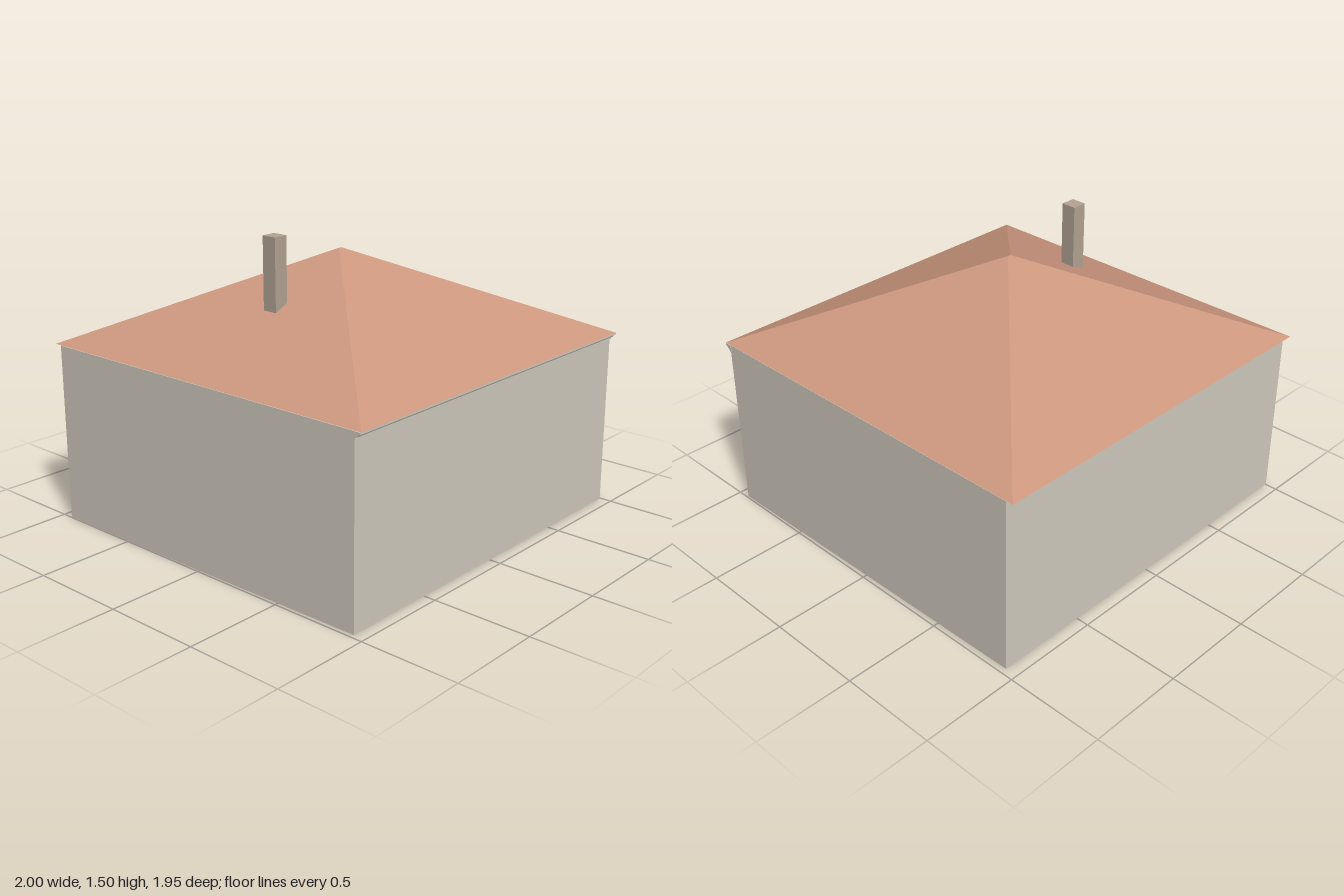
import * as THREE from 'three';

const mat = (name, color) => {
  const m = new THREE.MeshStandardMaterial({ color });
  m.name = name;
  return m;
};

export function createModel() {
  const wall = mat('plaster', 0xd0cabd);
  const roofRed = mat('roof tile', 0xcd977e);
  const brick = mat('chimney stone', 0xb3a393);
  const grey = mat('underside grey', 0x7c7c7c);

  const HALF_X = 0.985, EAVE = 0.912, RIDGE = 1.37;
  const group = new THREE.Group();
  group.name = 'house';

  // The plan is a slightly sheared rectangle: x shifts with z
  const shear = (geo, rule) => {
    const p = geo.attributes.position;
    const v = new THREE.Vector3();
    for (let i = 0; i < p.count; i++) {
      v.fromBufferAttribute(p, i);
      if (rule) rule(v);
      else v.x += -0.005 + 0.0125 * v.z;
      p.setXYZ(i, v.x, v.y, v.z);
    }
    geo.computeVertexNormals();
    return geo;
  };
  const add = (name, geo, material) => {
    const mesh = new THREE.Mesh(geo, material);
    mesh.name = name;
    group.add(mesh);
  };

  // Walls with a grey floor face
  const body = new THREE.BoxGeometry(HALF_X * 2, EAVE - 0.002, 1.876);
  body.translate(0, (EAVE - 0.002) / 2, 0.002);
  add('walls', shear(body), [wall, wall, wall, grey, wall, wall]);

  // Hipped roof: a box whose top is drawn in to a tiny ridge
  const roof = new THREE.BoxGeometry(HALF_X * 2, RIDGE - EAVE, 1.95);
  roof.translate(0, (RIDGE + EAVE) / 2, 0);
  shear(roof, (v) => {
    if (v.y > 1.2) {
      v.x = Math.sign(v.x) * 0.01 - 0.004;
      v.z = Math.sign(v.z) * 0.002;
    } else v.x += -0.005 + 0.0125 * v.z;
  });
  add('roof', roof, [roofRed, roofRed, roofRed, grey, roofRed, roofRed]);

  // Moulded cornice under the front eave
  const profile = new THREE.Shape([
    [0.935, 0.911], [0.973, 0.911], [0.973, 0.902], [0.962, 0.898],
    [0.957, 0.888], [0.946, 0.884], [0.946, 0.874], [0.935, 0.874],
  ].map(([z, y]) => new THREE.Vector2(z, y)));
  const cornice = new THREE.ExtrudeGeometry(profile, { depth: HALF_X * 2 + 0.006, bevelEnabled: false });
  cornice.rotateY(-Math.PI / 2).translate(HALF_X + 0.003, 0, 0);
  add('frontCornice', shear(cornice), wall);

  // Chimney
  const chimney = new THREE.BoxGeometry(0.076, 0.4, 0.078);
  chimney.translate(-0.458, 1.3, -0.001);
  add('chimney', chimney, brick);

  return group;
}
